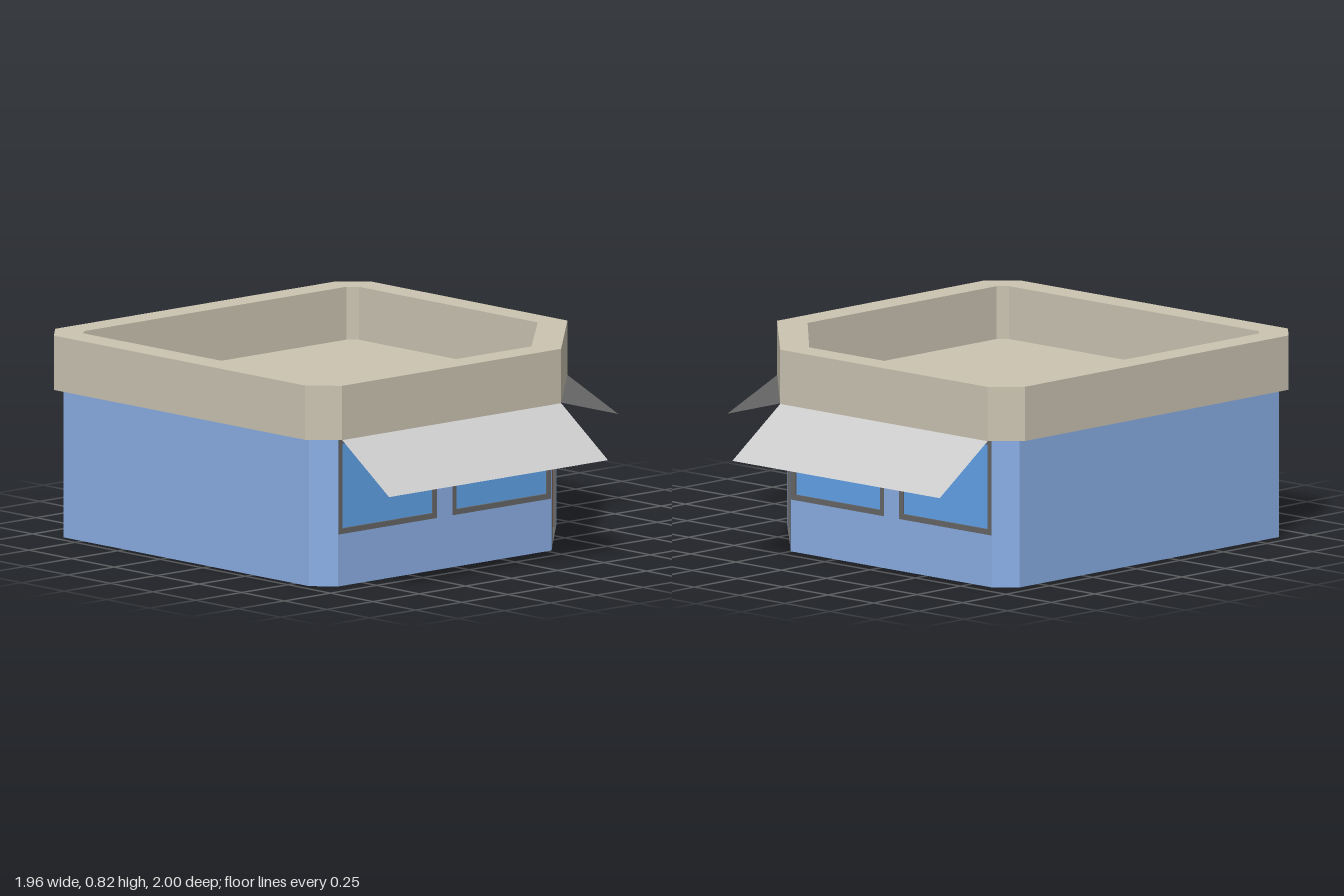
import * as THREE from 'three';

const mat = (color, side = THREE.FrontSide) =>
  new THREE.MeshStandardMaterial({ color, side, flatShading: true });
const wallMat = mat(0x8bafe6), roofMat = mat(0xcbc4b2), glassMat = mat(0x61a2e9);
const frameMat = mat(0x666666), doorMat = mat(0xc47c4b), awningMat = mat(0xcccccc, THREE.DoubleSide);

const WALL_H = 0.6, ROOF_TOP = 0.82;

// Plan outlines as [x, z], running front, right, diagonal corner, back, left
const wallPlan = [[-0.86, 0.96], [0.58, 0.96], [0.665, 0.88], [0.665, -0.275],
  [0.25, -0.685], [-0.86, -0.685], [-0.94, -0.61], [-0.94, 0.88]];
const roofPlan = [[-0.875, 1], [0.6, 1], [0.705, 0.895], [0.705, -0.29],
  [0.27, -0.725], [-0.875, -0.725], [-0.98, -0.62], [-0.98, 0.895]];
const deckPlan = [[-0.83, 0.88], [0.55, 0.88], [0.585, 0.845], [0.585, -0.24],
  [0.22, -0.61], [-0.83, -0.61], [-0.865, -0.575], [-0.865, 0.845]];

const points = (plan) => plan.map(([x, z]) => new THREE.Vector2(x, z));
const rect = (x0, y0, x1, y1) => [[x0, y0], [x1, y0], [x1, y1], [x0, y1]];

function add(parent, name, geometry, material) {
  const mesh = new THREE.Mesh(geometry, material);
  mesh.name = name;
  parent.add(mesh);
  return mesh;
}

function shapeOf(outline, holes = []) {
  const shape = new THREE.Shape(points(outline));
  holes.forEach((h) => shape.holes.push(new THREE.Path(points(h))));
  return shape;
}

// Horizontal slab of a plan outline, hanging down from the given top;
// holes run opposite to the outline so that their sides face inward
function slab(plan, holes, top, height) {
  const shape = shapeOf(plan, holes.map((h) => [...h].reverse()));
  return new THREE.ExtrudeGeometry(shape, { depth: height, bevelEnabled: false })
    .rotateX(Math.PI / 2).translate(0, top, 0);
}

// Group lying on a plan edge: x along the edge, y up, z outward
function onEdge(parent, name, plan, i) {
  const [ax, az] = plan[i], [bx, bz] = plan[(i + 1) % plan.length];
  const group = new THREE.Group();
  group.name = name;
  group.position.set(ax, 0, az);
  group.rotation.y = Math.atan2(az - bz, bx - ax);
  parent.add(group);
  return { group, length: Math.hypot(bx - ax, bz - az) };
}

// Flush frame around an opening, deep enough to line the reveal
function addFrame(parent, name, [x0, y0, x1, y1], inner) {
  const geometry = new THREE.ExtrudeGeometry(
    shapeOf(rect(x0, y0, x1, y1), [rect(...inner)]), { depth: 0.03, bevelEnabled: false });
  add(parent, name, geometry.translate(0, 0, -0.03), frameMat);
}

function addPane(parent, name, [x0, y0, x1, y1], depth, material) {
  add(parent, name, new THREE.BoxGeometry(x1 - x0, y1 - y0, 0.01)
    .translate((x0 + x1) / 2, (y0 + y1) / 2, -depth - 0.005), material);
}

function addWindow(parent, box) {
  const [x0, y0, x1, y1] = box, t = 0.022;
  const inner = [x0 + t, y0 + t, x1 - t, y1 - t];
  addFrame(parent, 'windowFrame', box, inner);
  addPane(parent, 'windowGlass', inner, 0.008, glassMat);
}

function addDoor(parent, box) {
  const [x0, y0, x1, y1] = box, t = 0.022, gap = 0.007, mid = (x0 + x1) / 2;
  addFrame(parent, 'doorFrame', box, [x0 + t, y0 + 0.002, x1 - t, y1 - t]);
  addPane(parent, 'doorLeaf', [x0 + t, y0, mid - gap, y1 - t], 0.012, doorMat);
  addPane(parent, 'doorLeaf', [mid + gap, y0, x1 - t, y1 - t], 0.012, doorMat);
  addPane(parent, 'doorGap', [mid - gap, y0, mid + gap, y1 - t], 0.012, frameMat);
}

export function createModel() {
  const model = new THREE.Group();
  model.name = 'cornerShop';

  // Walls, with windows on the right and back and a double door between them
  const names = ['frontWall', 'frontLeftChamfer', 'leftShopWall', 'entranceWall',
    'backShopWall', 'backRightChamfer', 'rightWall', 'frontRightChamfer'];
  names.forEach((name, i) => {
    const { group, length } = onEdge(model, name, wallPlan, i);
    const boxes = [];
    if (i === 2 || i === 4) {
      const w = (length - 0.083) / 2;
      boxes.push([0.002, 0.21, w, 0.597], [length - w, 0.21, length - 0.002, 0.597]);
      boxes.forEach((b) => addWindow(group, b));
    } else if (i === 3) {
      boxes.push([length / 2 - 0.222, 0.001, length / 2 + 0.222, 0.45]);
      addDoor(group, boxes[0]);
    }
    const panel = shapeOf(rect(0, 0, length, WALL_H), boxes.map((b) => rect(...b)));
    add(group, 'wallPanel', new THREE.ShapeGeometry(panel), wallMat);
  });
  add(model, 'floor', slab(wallPlan, [], 0.001, 0.001), wallMat);

  // Parapet ring around a sunken flat roof
  add(model, 'parapet', slab(roofPlan, [deckPlan], ROOF_TOP, ROOF_TOP - WALL_H), roofMat);
  add(model, 'roofDeck', slab(deckPlan, [], WALL_H + 0.006, 0.006), roofMat);

  // Thin sloping awnings over both shop walls
  const reach = 0.275, drop = 0.193;
  for (const i of [2, 4]) {
    const { group, length } = onEdge(model, 'awning', roofPlan, i);
    const slope = Math.hypot(reach, drop);
    add(group, 'awningSheet', new THREE.PlaneGeometry(length, slope)
      .translate(length / 2, -slope / 2, 0)
      .rotateX(-Math.atan2(reach, drop))
      .translate(0, WALL_H, 0), awningMat);
  }
  return model;
}
